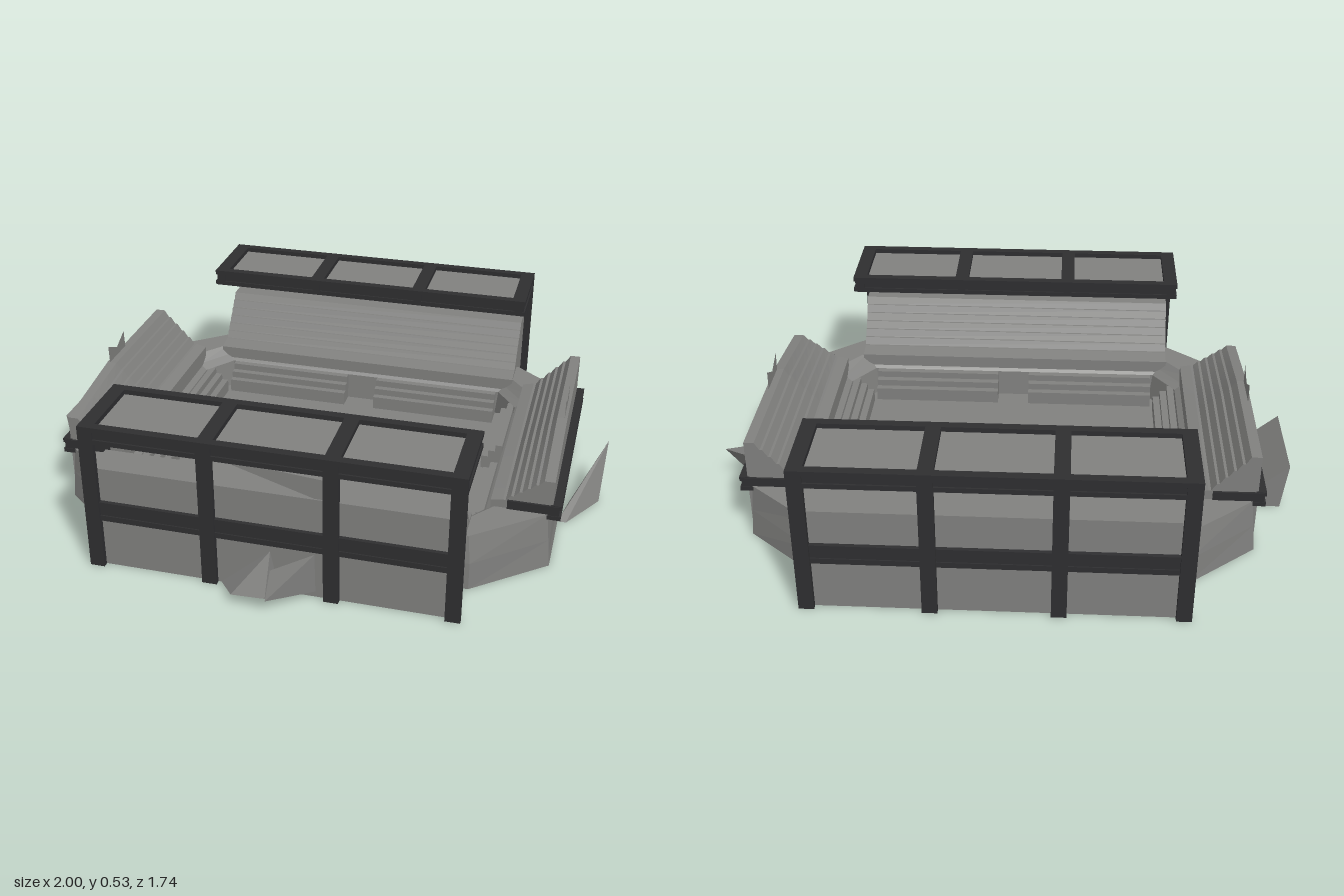
import * as THREE from 'three';
import { ConvexGeometry } from 'three/addons/geometries/ConvexGeometry.js';

const concrete = new THREE.MeshStandardMaterial({ color: 0x80807e, side: THREE.DoubleSide });
concrete.name = 'concrete grey';
const steel = new THREE.MeshStandardMaterial({ color: 0x2e2e30 });
steel.name = 'dark steel';

function add(parent, name, geometry, material) {
  const mesh = new THREE.Mesh(geometry, material);
  mesh.name = name;
  parent.add(mesh);
  return mesh;
}

function box(parent, name, size, pos, material) {
  const mesh = add(parent, name, new THREE.BoxGeometry(...size), material);
  mesh.position.set(...pos);
  return mesh;
}

// I-section beam along x or z: two flanges and a narrower web
function beam(parent, name, axis, length, pos, height, width) {
  const [x, y, z] = pos;
  const size = (h, w) => (axis === 'x' ? [length, h, w] : [w, h, length]);
  const flange = height * 0.28;
  for (const s of [-1, 1]) {
    box(parent, name + 'Flange', size(flange, width), [x, y + s * (height - flange) / 2, z], steel);
  }
  box(parent, name + 'Web', size(height, width * 0.6), pos, steel);
}

// Bowl lofted from octagons; each ring is [x, zAtX, xAtZ, z, y]
function bowlGeometry() {
  const rings = [
    [0.001, 0.0005, 0.0005, 0.001, 0],
    [0.86, 0.43, 0.62, 0.63, 0],
    [0.85, 0.43, 0.62, 0.63, 0.1],
    [0.84, 0.43, 0.61, 0.62, 0.2],
    [0.69, 0.39, 0.58, 0.53, 0.2],
    [0.66, 0.38, 0.57, 0.5, 0.17],
    [0.63, 0.37, 0.55, 0.48, 0.15],
    [0.62, 0.365, 0.54, 0.475, 0.05],
    [0.001, 0.0005, 0.0005, 0.001, 0.05],
  ].map(([x, zx, xz, z, y]) =>
    [[x, zx], [xz, z], [-xz, z], [-x, zx], [-x, -zx], [-xz, -z], [xz, -z], [x, -zx]].map(([a, b]) => [a, y, b]));
  const pos = [];
  for (let i = 0; i < rings.length - 1; i++) {
    for (let j = 0; j < 8; j++) {
      const k = (j + 1) % 8;
      const [a, b, c, d] = [rings[i][j], rings[i][k], rings[i + 1][j], rings[i + 1][k]];
      pos.push(...a, ...c, ...b, ...b, ...c, ...d);
    }
  }
  const g = new THREE.BufferGeometry();
  g.setAttribute('position', new THREE.Float32BufferAttribute(pos, 3));
  g.computeVertexNormals();
  return g;
}

// Stepped seating profile from the top inner edge down to the front lip
function standProfile(outer, topIn, top, lipIn, lip, foot, rows) {
  const pts = [[outer, 0.0], [outer, top], [topIn, top]];
  for (let i = 1; i <= rows; i++) {
    const t = i / rows;
    const u = topIn + (lipIn - topIn) * t;
    const y = top + (lip - top) * t;
    pts.push([u + (topIn - lipIn) / rows * 0.35, y], [u, y]);
  }
  pts.push([foot, lip - 0.01], [foot, 0.16], [lipIn, 0.0]);
  return new THREE.Shape(pts.map((p) => new THREE.Vector2(...p)));
}

// Extrudes a profile along z, optionally lowering the rows towards one end
function standGeometry(shape, length, lowEnd = 0) {
  const g = new THREE.ExtrudeGeometry(shape, { depth: length, steps: lowEnd ? 12 : 1, bevelEnabled: false });
  g.translate(0, 0, -length / 2);
  if (lowEnd) {
    const p = g.attributes.position;
    for (let i = 0; i < p.count; i++) {
      const t = THREE.MathUtils.clamp((p.getZ(i) * lowEnd - 0.07) / 0.36, 0, 1);
      const y = p.getY(i);
      if (y > 0.22) p.setY(i, 0.22 + (y - 0.22) * (1 - 0.33 * t));
    }
    g.computeVertexNormals();
  }
  return g;
}

// Steel frame with roof over one long stand; s = +1 front, -1 back
function roofFrame(s) {
  const g = new THREE.Group();
  g.name = s > 0 ? 'frontRoofFrame' : 'backRoofFrame';
  const outer = 0.8, inner = 0.53, mid = (outer + inner) / 2;
  for (const x of [-0.6, -0.205, 0.205, 0.6]) {
    box(g, 'pillar', [0.05, 0.53, 0.018], [x, 0.265, s * 0.806], steel);
    box(g, 'pillarWeb', [0.025, 0.53, 0.03], [x, 0.265, s * 0.795], steel);
    beam(g, 'roofRib', 'z', 0.3, [x, 0.5, s * mid], 0.06, 0.05);
  }
  beam(g, 'outerRoofBeam', 'x', 1.24, [0, 0.5, s * outer], 0.06, 0.03);
  beam(g, 'innerRoofBeam', 'x', 1.24, [0, 0.5, s * inner], 0.06, 0.03);
  beam(g, 'wallBeam', 'x', 1.22, [0, 0.215, s * 0.798], 0.07, 0.022);
  for (const x of [-0.4, 0, 0.4]) {
    box(g, 'roofPanel', [0.37, 0.006, 0.26], [x, 0.51, s * mid], concrete);
  }
  return g;
}

export function createModel() {
  const model = new THREE.Group();
  model.name = 'stadium';
  const arena = new THREE.Group();
  arena.name = 'arena';
  arena.position.z = -0.055;
  model.add(arena);

  add(arena, 'bowlAndField', bowlGeometry(), concrete);

  // Long stands and their roof frames
  const longShape = standProfile(0.795, 0.675, 0.37, 0.55, 0.215, 0.49, 6);
  for (const s of [1, -1]) {
    const stand = add(arena, s > 0 ? 'frontStand' : 'backStand', standGeometry(longShape, 1.2), concrete);
    stand.rotation.y = -s * Math.PI / 2;
    arena.add(roofFrame(s));
  }

  // Short stands with steel edge beams and a pointed crest
  const sideShape = standProfile(0.855, 0.82, 0.37, 0.69, 0.235, 0.65, 5);
  const crest = new THREE.Shape([[0.07, 0.36], [0.075, 0.435], [0, 0.4], [-0.07, 0.435], [-0.075, 0.36]]
    .map((p) => new THREE.Vector2(...p)));
  for (const s of [1, -1]) {
    const side = s > 0 ? 'left' : 'right';
    const stand = add(arena, side + 'Stand', standGeometry(sideShape, 0.85, s), concrete);
    stand.rotation.y = s > 0 ? 0 : Math.PI;
    beam(arena, side + 'EdgeBeam', 'z', 0.86, [s * 0.865, 0.208, 0], 0.055, 0.035);
    for (const e of [-1, 1]) {
      beam(arena, side + 'EndBeam', 'x', 0.17, [s * 0.79, 0.208, e * 0.427], 0.05, 0.012);
    }
    const tip = add(arena, side + 'Crest', new THREE.ShapeGeometry(crest), concrete);
    tip.rotation.y = -Math.PI / 2;
    tip.position.set(s * 0.845, 0, 0);
  }

  // Low seating around the field, split by a gateway on each side
  const barrier = new THREE.Shape([[0, 0.05], [0, 0.1], [0.025, 0.1], [0.025, 0.125], [0.05, 0.125],
    [0.05, 0.15], [0.075, 0.15], [0.075, 0.05]].map((p) => new THREE.Vector2(...p)));
  const barriers = [[0, 0.55, 0.34], [Math.PI, 0.55, 0.34], [Math.PI / 2, 0.405, 0.48], [-Math.PI / 2, 0.405, 0.48]];
  for (const [angle, offset, length] of barriers) {
    for (const e of [-1, 1]) {
      const holder = new THREE.Group();
      holder.name = 'fieldSeating';
      holder.rotation.y = angle;
      const row = add(holder, 'seatingRow', standGeometry(barrier, length), concrete);
      row.position.set(offset, 0, e * (0.06 + length / 2));
      arena.add(holder);
    }
  }

  // Loose ramps against the outer walls
  const hull = (name, pts) =>
    add(model, name, new ConvexGeometry(pts.map((p) => new THREE.Vector3(...p))), concrete);
  const wedge = [];
  for (const z of [-0.23, 0.11]) wedge.push([-1, 0.17, z], [-0.98, 0, z], [-0.86, 0.05, z], [-0.86, 0, z]);
  hull('rightRamp', wedge);
  hull('leftRamp', [[0.86, 0, 0.1], [0.89, 0, 0.1], [0.89, 0, -0.05], [1, 0.17, -0.22], [0.99, 0, -0.07]]);
  hull('frontRampLow', [[-0.17, 0, 0.74], [-0.1, 0.04, 0.85], [0.02, 0.06, 0.87], [0, 0.15, 0.74], [0.03, 0, 0.74]]);
  hull('frontRampHigh', [[0.02, 0.05, 0.87], [0.15, 0.17, 0.75], [0.03, 0.15, 0.84], [0.15, 0.02, 0.74], [0, 0, 0.74]]);

  // Bent sheet hanging under the front roof
  const sheet = new THREE.Shape([[-0.18, 0.47], [0.18, 0.36], [0.18, 0.44]].map((p) => new THREE.Vector2(...p)));
  add(model, 'hangingSheet', new THREE.ShapeGeometry(sheet), concrete).position.z = 0.735;
  return model;
}
